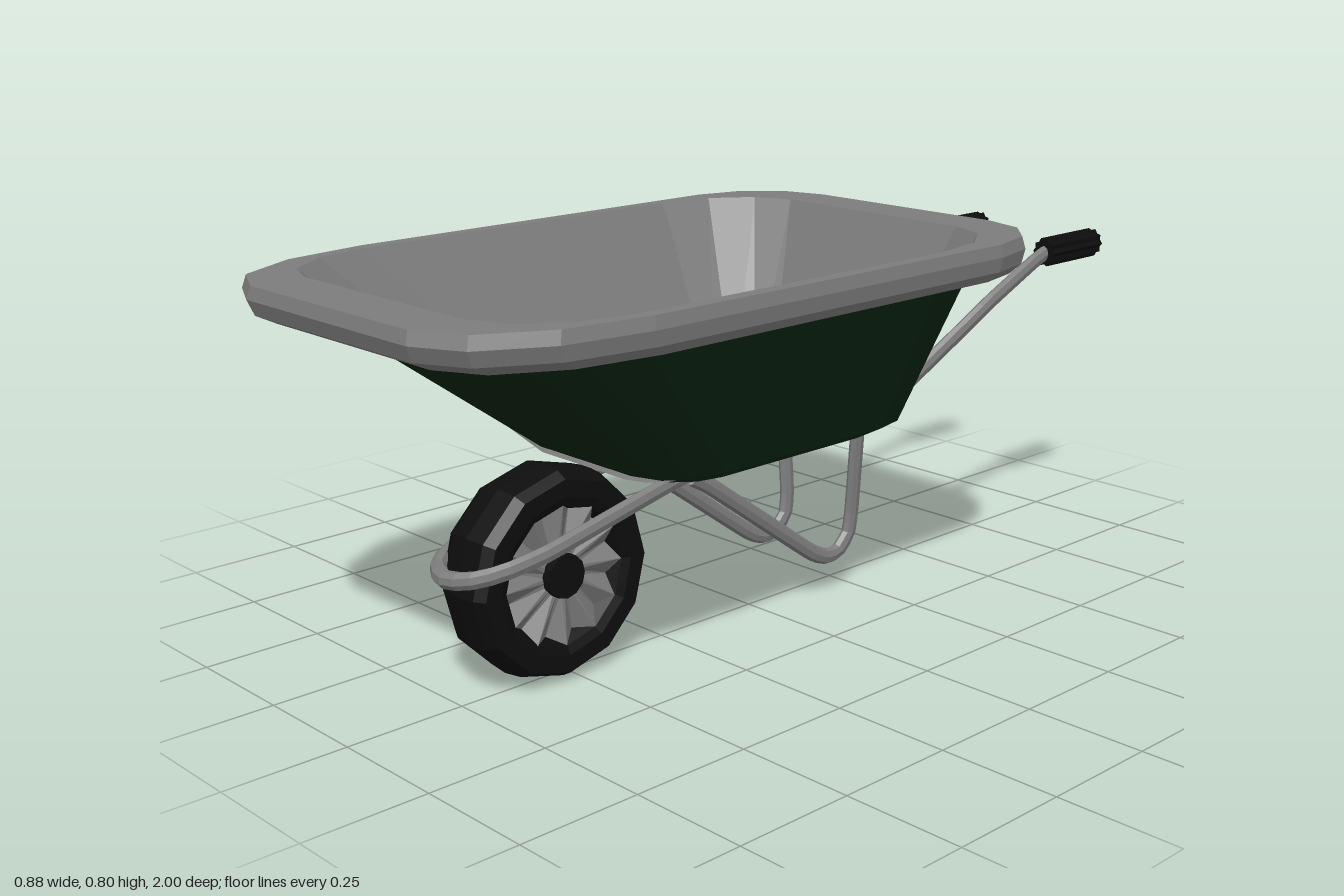
import * as THREE from 'three';

const mat = (name, color) => {
  const m = new THREE.MeshStandardMaterial({ color, flatShading: true });
  m.name = name;
  return m;
};

// Rounded-rectangle loop in the xz plane; cx, cf, cb are the corner cuts in x, front and back
function loop(y, hx, zf, zb, cx, cf, cb) {
  const pts = [];
  for (let q = 0; q < 4; q++) {
    const sx = q === 0 || q === 3 ? 1 : -1, front = q < 2;
    for (let k = 0; k < 4; k++) {
      const a = (q * 90 + k * 30) * Math.PI / 180;
      const z = front ? zf - cf + cf * Math.sin(a) : zb + cb + cb * Math.sin(a);
      pts.push([sx * (hx - cx) + cx * Math.cos(a), y, z]);
    }
  }
  return pts;
}

// Skin joining consecutive loops
function skin(loops) {
  const n = loops[0].length, index = [];
  for (let j = 0; j < loops.length - 1; j++) {
    for (let i = 0; i < n; i++) {
      const a = j * n + i, b = j * n + (i + 1) % n;
      index.push(a, a + n, b, a + n, b + n, b);
    }
  }
  const g = new THREE.BufferGeometry();
  g.setAttribute('position', new THREE.Float32BufferAttribute(loops.flat(2), 3));
  g.setIndex(index);
  g.computeVertexNormals();
  return g;
}

// Steel tube, slightly narrower in x than in depth
function tube(points, segments) {
  const squash = 0.72;
  const path = points.map(([x, y, z]) => new THREE.Vector3(x / squash, y, z));
  const curve = new THREE.CatmullRomCurve3(path, false, 'catmullrom', 0.2);
  return new THREE.TubeGeometry(curve, segments, 0.018, 8).scale(squash, 1, 1);
}

export function createModel() {
  const green = mat('tub green', 0x0a2410);
  const grey = mat('metal grey', 0x7c7c7c);
  const black = mat('rubber black', 0x0d0d0d);
  const model = new THREE.Group();
  model.name = 'wheelbarrow';
  const add = (parent, name, geometry, material) => {
    const m = new THREE.Mesh(geometry, material);
    m.name = name;
    parent.add(m);
    return m;
  };

  // Tub: green outer shell, grey rolled rim and lining
  add(model, 'tubShell', skin([
    loop(0.39, 0, 0.08, 0.08, 0, 0, 0),
    loop(0.39, 0.195, 0.37, -0.22, 0.09, 0.11, 0.1),
    loop(0.418, 0.245, 0.44, -0.265, 0.11, 0.14, 0.12),
    loop(0.735, 0.397, 0.86, -0.352, 0.165, 0.24, 0.23)
  ]), green);
  add(model, 'rim', skin([
    loop(0.73, 0.39, 0.85, -0.345, 0.165, 0.24, 0.23),
    loop(0.73, 0.418, 0.945, -0.45, 0.185, 0.34, 0.2),
    loop(0.75, 0.435, 0.985, -0.47, 0.195, 0.355, 0.205),
    loop(0.78, 0.44, 0.997, -0.475, 0.195, 0.355, 0.205),
    loop(0.805, 0.435, 0.99, -0.47, 0.195, 0.355, 0.205),
    loop(0.805, 0.405, 0.88, -0.365, 0.165, 0.24, 0.235)
  ]), grey);
  add(model, 'tubLining', skin([
    loop(0.805, 0.405, 0.88, -0.365, 0.165, 0.24, 0.235),
    loop(0.41, 0.205, 0.445, -0.19, 0.08, 0.1, 0.09),
    loop(0.41, 0, 0.12, 0.12, 0, 0, 0)
  ]), grey);

  // Undercarriage sits slightly turned beneath the tub
  const under = new THREE.Group();
  under.name = 'undercarriage';
  under.position.x = -0.024;
  under.rotation.y = 0.014;
  model.add(under);

  // One bent tube runs from grip to grip round the wheel
  const half = [
    [0.165, 0.675, -0.85], [0.165, 0.67, -0.8], [0.163, 0.59, -0.62], [0.158, 0.555, -0.56],
    [0.122, 0.395, -0.3], [0.115, 0.377, -0.25], [0.095, 0.365, 0.2], [0.095, 0.358, 0.28],
    [0.1, 0.292, 0.6], [0.083, 0.272, 0.7], [0.045, 0.26, 0.75]
  ];
  const mirrored = half.map(([x, y, z]) => [-x, y, z]).reverse();
  add(under, 'frameTube', tube([...half, [0, 0.256, 0.763], ...mirrored], 90), grey);

  // Ribbed grip cross-section
  const ribs = new THREE.Shape();
  for (let i = 0; i < 20; i++) {
    const a = i * Math.PI / 10, r = i % 2 ? 0.027 : 0.033;
    ribs[i ? 'lineTo' : 'moveTo'](r * 0.9 * Math.cos(a), r * Math.sin(a));
  }
  for (const s of [1, -1]) {
    const side = s > 0 ? 'left' : 'right';
    add(under, side + 'Leg', tube([
      [0.095, 0.355, 0.23], [0.095, 0.325, 0.18], [0.095, 0.115, -0.11], [0.095, 0.09, -0.16],
      [0.095, 0.09, -0.2], [0.095, 0.125, -0.235], [0.097, 0.18, -0.243], [0.112, 0.375, -0.243]
    ].map(([x, y, z]) => [s * x, y, z]), 36), grey);
    const grip = add(under, side + 'Grip',
      new THREE.ExtrudeGeometry(ribs, { depth: 0.187, bevelEnabled: false }), black);
    grip.position.set(s * 0.165, 0.676, -0.999);
  }

  // Wheel: tyre, folded spoke discs and hub
  const wheel = new THREE.Group();
  wheel.name = 'wheel';
  wheel.position.set(0, 0.217, 0.53);
  under.add(wheel);
  const wall = [[0.13, 0.03], [0.142, 0.06], [0.16, 0.068], [0.195, 0.068], [0.208, 0.045]];
  const profile = [
    ...wall.map(([r, x]) => new THREE.Vector2(r, -x)),
    new THREE.Vector2(0.213, 0),
    ...wall.map(([r, x]) => new THREE.Vector2(r, x)).reverse()
  ];
  add(wheel, 'tyre', new THREE.LatheGeometry(profile, 12).rotateZ(Math.PI / 2), black);
  for (const s of [1, -1]) {
    const disc = new THREE.RingGeometry(0.035, 0.142, 24, 1);
    const p = disc.attributes.position;
    for (let i = 25; i < 50; i++) p.setZ(i, i % 2 ? 0.014 : -0.014);
    disc.rotateY(s * Math.PI / 2).translate(s * 0.045, 0, 0);
    disc.computeVertexNormals();
    add(wheel, s > 0 ? 'leftSpokes' : 'rightSpokes', disc, grey);
  }
  add(wheel, 'hub', new THREE.CylinderGeometry(0.044, 0.044, 0.13, 12).rotateZ(Math.PI / 2), black);

  return model;
}
